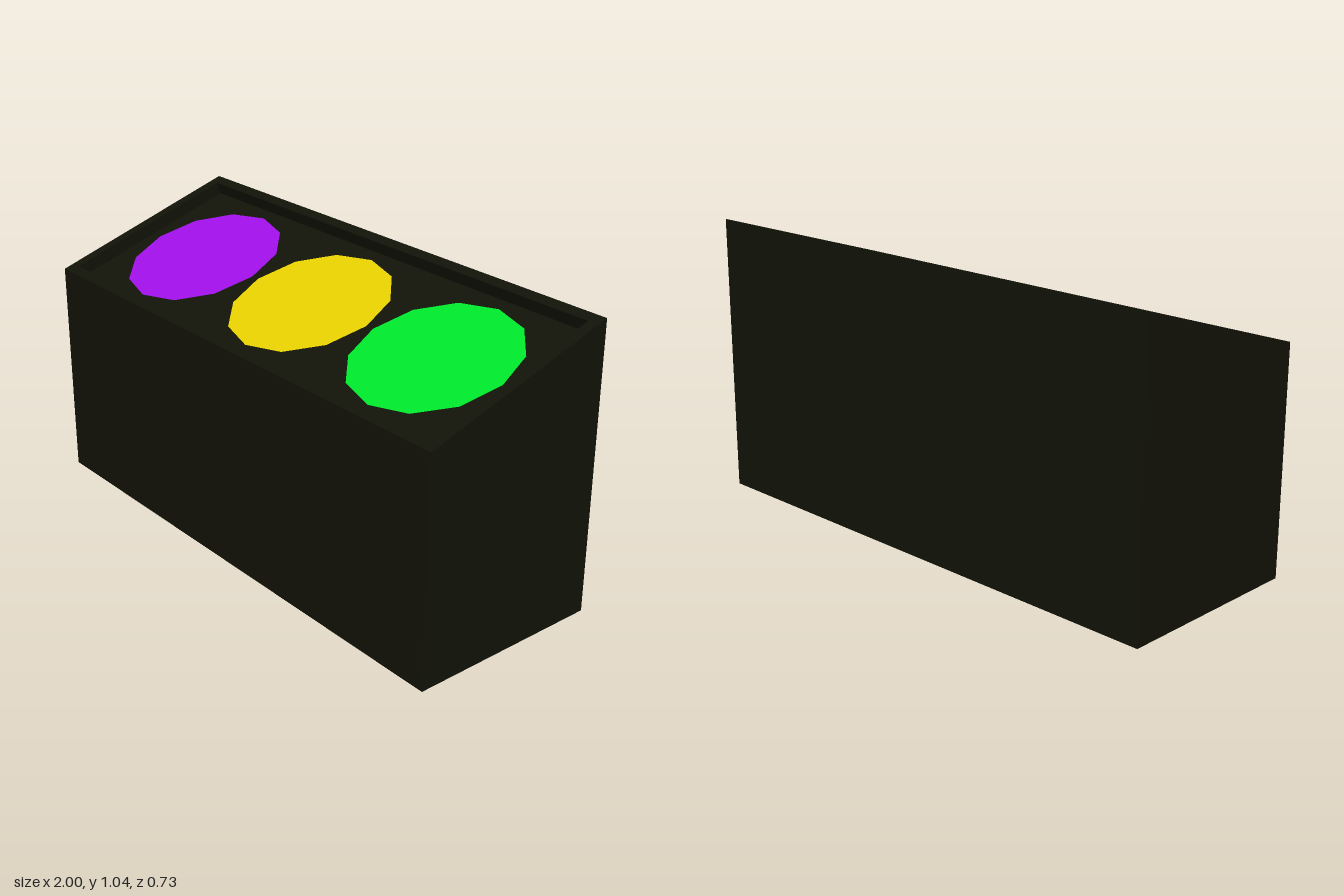
import * as THREE from 'three';

const HALF_DEPTH = 0.363, FRONT_Y = 0.817, BACK_Y = 1.045;
const MID_Y = (FRONT_Y + BACK_Y) / 2;
const TILT = Math.atan2(BACK_Y - FRONT_Y, 2 * HALF_DEPTH);
const HALF_SLOPE = HALF_DEPTH / Math.cos(TILT);
const RIM = 0.04;

// Point in the tilted frame of the top: x across, s down the slope, d below the rim
function onTop(x, s, d) {
  return new THREE.Vector3(x, -d, s).applyAxisAngle(new THREE.Vector3(1, 0, 0), TILT)
    .add(new THREE.Vector3(0, MID_Y, 0));
}

// Four corners, counter-clockwise from above
function ring(halfX, halfZ, place) {
  return [[1, 1], [1, -1], [-1, -1], [-1, 1]].map(([a, b]) => place(a * halfX, b * halfZ));
}

// Case, open underneath: foot, outer rim, inner rim and recess floor joined ring by ring
function caseGeometry() {
  const rings = [
    ring(1, HALF_DEPTH, (x, z) => new THREE.Vector3(x, 0, z)),
    ring(1, HALF_SLOPE, (x, s) => onTop(x, s, 0)),
    ring(1 - RIM, HALF_SLOPE - RIM, (x, s) => onTop(x, s, 0)),
    ring(1 - RIM, HALF_SLOPE - RIM, (x, s) => onTop(x, s, 0.047)),
  ];
  const points = [];
  const quad = (a, b, c, d) => points.push(a, b, c, a, c, d);
  for (let r = 0; r < 3; r++) {
    for (let i = 0; i < 4; i++) {
      const j = (i + 1) % 4;
      quad(rings[r][i], rings[r][j], rings[r + 1][j], rings[r + 1][i]);
    }
  }
  quad(...rings[3]);
  const geometry = new THREE.BufferGeometry().setFromPoints(points);
  geometry.computeVertexNormals();
  return geometry;
}

export function createModel() {
  const model = new THREE.Group();
  model.name = 'buttonBox';

  const body = new THREE.Mesh(caseGeometry(), new THREE.MeshStandardMaterial({
    color: 0x121308, flatShading: true, side: THREE.DoubleSide,
  }));
  body.name = 'case';
  model.add(body);

  // Three twelve-sided coloured discs lying in the recess
  const discGeometry = new THREE.CircleGeometry(0.293, 12).rotateX(-Math.PI / 2);
  const discs = [
    ['purpleDisc', -0.618, 0xa010e8],
    ['yellowDisc', 0, 0xe6d000],
    ['greenDisc', 0.618, 0x00e62c],
  ];
  for (const [name, x, color] of discs) {
    const disc = new THREE.Mesh(discGeometry, new THREE.MeshStandardMaterial({ color }));
    disc.name = name;
    disc.position.copy(onTop(x, 0, 0.044));
    disc.rotation.x = TILT;
    model.add(disc);
  }
  return model;
}
